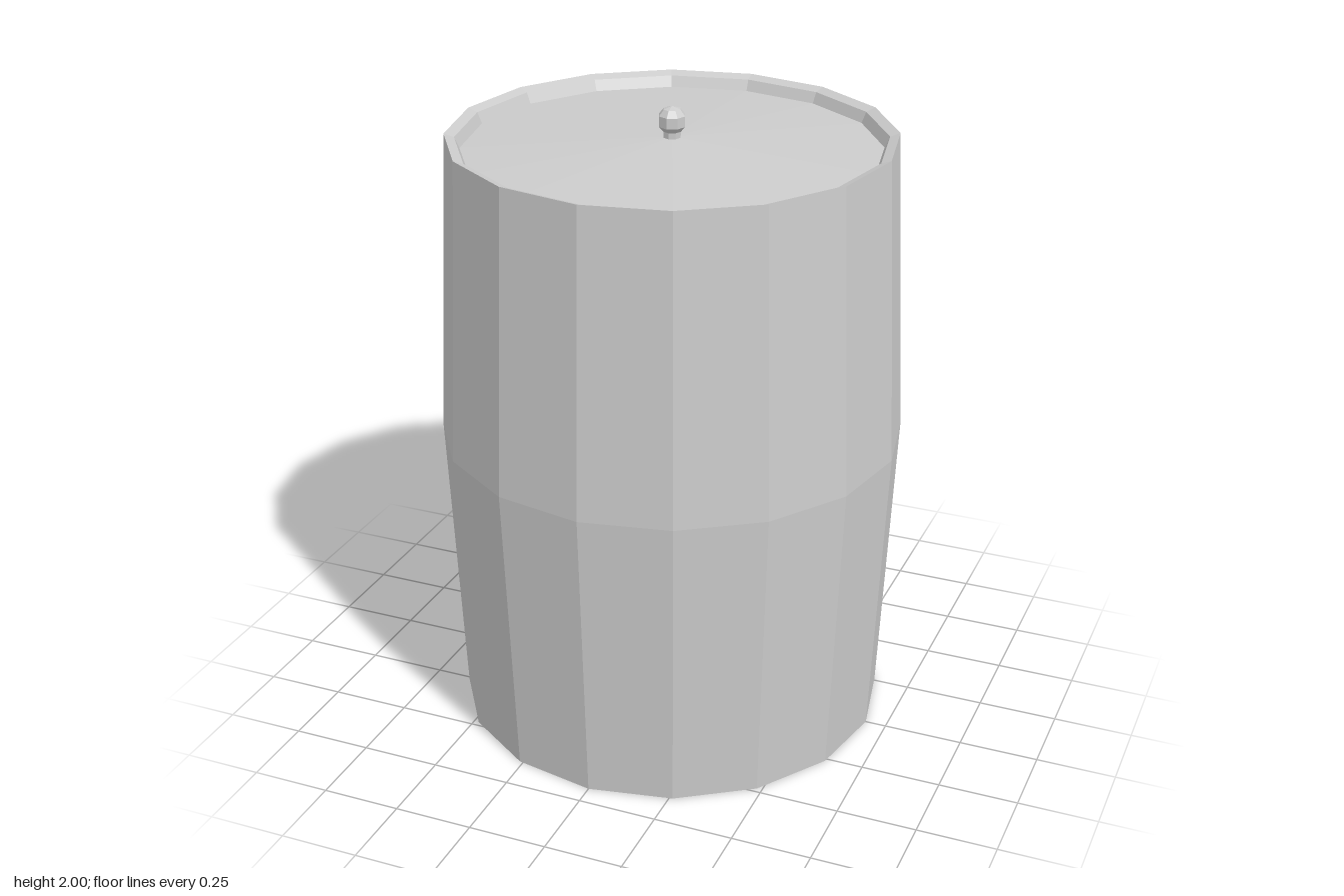
import * as THREE from 'three';

const material = new THREE.MeshStandardMaterial({ color: 0xcccccc, flatShading: true });

// Revolve a [radius, height] profile, listed from bottom to top of the outside
function turned(name, profile, sides) {
  const points = profile.map(([r, y]) => new THREE.Vector2(r, y));
  const mesh = new THREE.Mesh(new THREE.LatheGeometry(points, sides), material);
  mesh.name = name;
  return mesh;
}

export function createModel() {
  const group = new THREE.Group();
  group.name = 'barrel';

  // Closed base, bulging staves and the bevelled rim
  group.add(turned('body', [
    [0, 0], [0.683, 0], [0.727, 0.96], [0.683, 1.915], [0.652, 1.904], [0.637, 1.87],
  ], 16));

  // Shallow conical lid set inside the rim
  group.add(turned('lid', [[0.637, 1.87], [0, 1.906]], 16));

  // Small faceted knob on a short neck
  group.add(turned('knob', [
    [0.028, 1.9], [0.028, 1.923], [0.042, 1.939], [0.042, 1.972], [0.027, 1.991], [0, 2],
  ], 8));

  return group;
}
